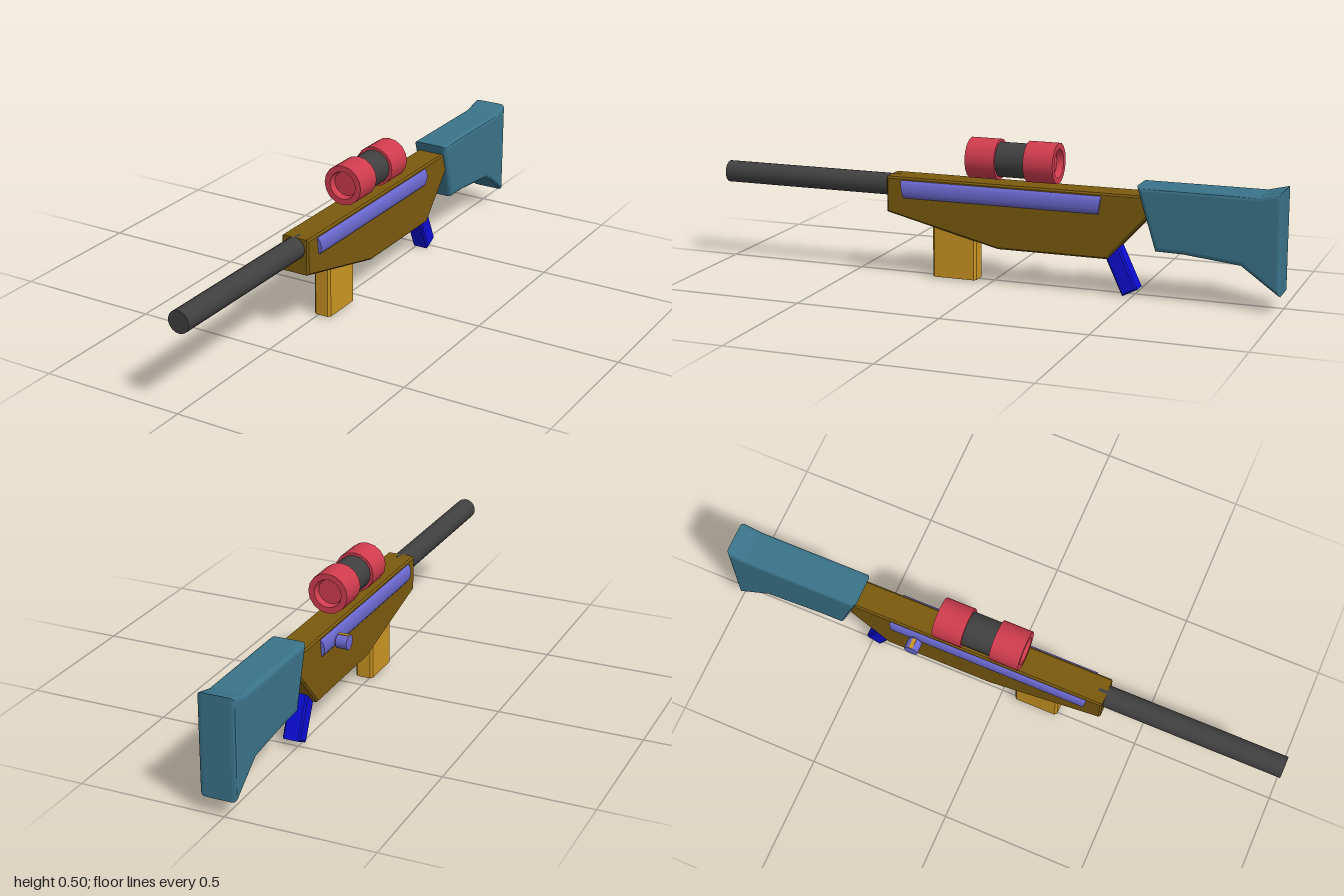
import * as THREE from 'three';

const CX = 0.0175; // centre plane of the body; the bolt sticks out on the right side

const mat = (name, color) => {
  const m = new THREE.MeshStandardMaterial({ color });
  m.name = name;
  return m;
};

export function createModel() {
  const brown = mat('brown', 0x7a5a0e);
  const teal = mat('teal', 0x3a7389);
  const grey = mat('dark grey', 0x404040);
  const red = mat('red', 0xd03c4e);
  const violet = mat('violet', 0x6b69d0);
  const amber = mat('amber', 0xca9422);
  const blue = mat('blue', 0x0c0cd2);

  const root = new THREE.Group();
  root.name = 'scopedRifle';

  const add = (name, geometry, material, x = CX, y = 0, z = 0) => {
    const mesh = new THREE.Mesh(geometry, material);
    mesh.name = name;
    mesh.position.set(x, y, z);
    root.add(mesh);
    return mesh;
  };

  // Side outline of (z, y) points, extruded across x with bevelled edges
  const slab = (points, width, bevel, segments) => {
    const shape = new THREE.Shape(points.map(([z, y]) => new THREE.Vector2(z, y)));
    const depth = width - 2 * bevel;
    return new THREE.ExtrudeGeometry(shape, {
      depth, bevelEnabled: true, bevelThickness: bevel, bevelSize: bevel,
      bevelOffset: -bevel, bevelSegments: segments,
    }).translate(0, 0, -depth / 2).rotateY(-Math.PI / 2);
  };

  // Cylinder lying along z
  const rod = (r, length, sides = 16) =>
    new THREE.CylinderGeometry(r, r, length, sides).rotateX(Math.PI / 2);

  add('receiver', slab([
    [0.37, 0.352], [0.37, 0.228], [-0.035, 0.13], [-0.42, 0.13], [-0.56, 0.285], [-0.555, 0.352],
  ], 0.102, 0.006, 1), brown);

  add('stock', slab([
    [-0.52, 0.386], [-0.585, 0.172], [-0.68, 0.17], [-0.87, 0.15],
    [-1, 0.058], [-1, 0.403], [-0.93, 0.386],
  ], 0.127, 0.016, 3), teal);

  add('barrel', rod(0.038, 0.66, 18), grey, CX, 0.315, 0.67);

  // Magazine, with bevelled upright edges
  const half = { x: 0.031, z: 0.08, c: 0.008 };
  const foot = new THREE.Shape([
    [-half.x + half.c, -half.z], [half.x - half.c, -half.z],
    [half.x, -half.z + half.c], [half.x, half.z - half.c],
    [half.x - half.c, half.z], [-half.x + half.c, half.z],
    [-half.x, half.z - half.c], [-half.x, -half.z + half.c],
  ].map(([x, z]) => new THREE.Vector2(x, z)));
  add('magazine', new THREE.ExtrudeGeometry(foot, { depth: 0.192, bevelEnabled: false })
    .rotateX(-Math.PI / 2), amber, CX, 0.008, 0.13);

  add('grip', slab([
    [-0.395, 0.16], [-0.468, 0.003], [-0.52, 0.03], [-0.45, 0.18],
  ], 0.062, 0.006, 1), blue);

  // Scope: a tube between two cups, each with a recessed lens
  const scopeY = 0.43;
  add('scopeTube', rod(0.06, 0.13), grey, CX, scopeY, -0.08);
  for (const s of [1, -1]) {
    const profile = [
      [0, -0.052], [0.07, -0.052], [0.07, -0.052], [0.07, 0.052], [0.07, 0.052],
      [0.049, 0.052], [0.049, 0.052], [0.043, 0.03], [0.043, 0.03], [0, 0.03],
    ].map(([r, h]) => new THREE.Vector2(r, h));
    const cup = new THREE.LatheGeometry(profile, 16).rotateX(s * Math.PI / 2);
    add(s > 0 ? 'scopeFrontCup' : 'scopeRearCup', cup, red, CX, scopeY, -0.08 + s * 0.103);
  }

  // Rounded side rails with slightly slanted ends
  for (const s of [1, -1]) {
    const rail = rod(1, 0.705).scale(0.0135, 0.031, 1);
    const p = rail.attributes.position;
    for (let i = 0; i < p.count; i++) {
      p.setZ(i, p.getZ(i) + Math.sign(p.getZ(i)) * p.getY(i) * 0.15);
    }
    add(s > 0 ? 'leftRail' : 'rightRail', rail, violet, CX + s * 0.05, 0.311, -0.042);
  }

  // Bolt handle on the right side: flared neck, knob and top inlay
  const boltY = 0.304, boltZ = -0.3;
  add('boltNeck', new THREE.CylinderGeometry(0.012, 0.019, 0.025, 16).rotateZ(-Math.PI / 2),
    violet, -0.04, boltY, boltZ);
  add('boltKnob', new THREE.CylinderGeometry(0.025, 0.025, 0.039, 16).rotateZ(Math.PI / 2),
    violet, -0.0705, boltY, boltZ);
  add('boltInlay', new THREE.BoxGeometry(0.037, 0.004, 0.013),
    amber, -0.0705, boltY + 0.0235, boltZ);

  return root;
}
